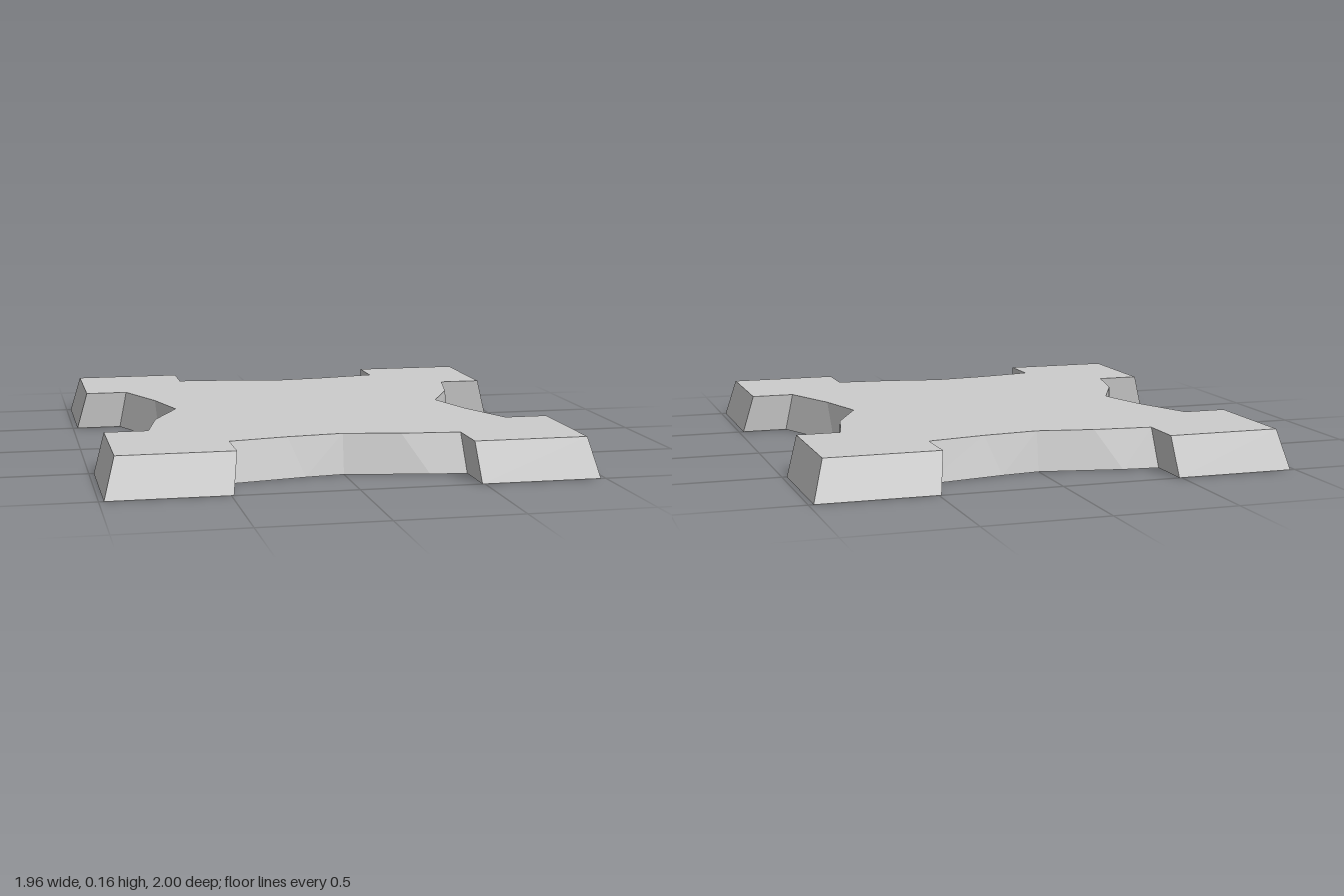
import * as THREE from 'three';

const HEIGHT = 0.163;

// Half of the outline, from front centre round by +x towards the back:
// [bottom x, bottom z, top x, top z]
const HALF = [
  [0, 0.72, 0, 0.695],
  [0.34, 0.785, 0.23, 0.74],
  [0.49, 0.80, 0.47, 0.765],
  [0.49, 1, 0.47, 0.955],
  [0.98, 1, 0.935, 0.955],
  [0.98, 0.5, 0.935, 0.48],
  [0.785, 0.5, 0.755, 0.48],
  [0.64, 0.15, 0.65, 0.23],
  [0.598, 0, 0.586, 0],
  [0.75, -0.35, 0.70, -0.235],
  [0.785, -0.5, 0.755, -0.48],
  [0.98, -0.5, 0.935, -0.48],
  [0.98, -1, 0.935, -0.955],
  [0.49, -1, 0.47, -0.955],
  [0.49, -0.80, 0.47, -0.765],
  [0.16, -0.74, 0.23, -0.72],
];

export function createModel() {
  // The other half is the same outline turned by 180 degrees
  const outline = [...HALF, ...HALF.map((p) => p.map((v) => -v))];
  const bottom = outline.map(([x, z]) => new THREE.Vector3(x, 0, z));
  const top = outline.map(([, , x, z]) => new THREE.Vector3(x, HEIGHT, z));
  const positions = [];
  const tri = (...corners) => corners.forEach((c) => positions.push(c.x, c.y, c.z));

  // Sloping walls
  outline.forEach((_, i) => {
    const j = (i + 1) % outline.length;
    tri(bottom[i], bottom[j], top[j]);
    tri(bottom[i], top[j], top[i]);
  });

  // Flat top and underside
  const cap = (ring, up) => {
    const flat = ring.map((p) => new THREE.Vector2(p.x, -p.z));
    for (const [a, b, c] of THREE.ShapeUtils.triangulateShape(flat, [])) {
      if (up) tri(ring[a], ring[b], ring[c]);
      else tri(ring[a], ring[c], ring[b]);
    }
  };
  cap(top, true);
  cap(bottom, false);

  const geometry = new THREE.BufferGeometry();
  geometry.setAttribute('position', new THREE.Float32BufferAttribute(positions, 3));
  geometry.computeVertexNormals();

  const stone = new THREE.MeshStandardMaterial({ color: 0xcccccc });
  stone.name = 'light grey';
  const slab = new THREE.Mesh(geometry, stone);
  slab.name = 'bastionSlab';

  const group = new THREE.Group();
  group.name = 'fourCorneredPlatform';
  group.add(slab);
  return group;
}
